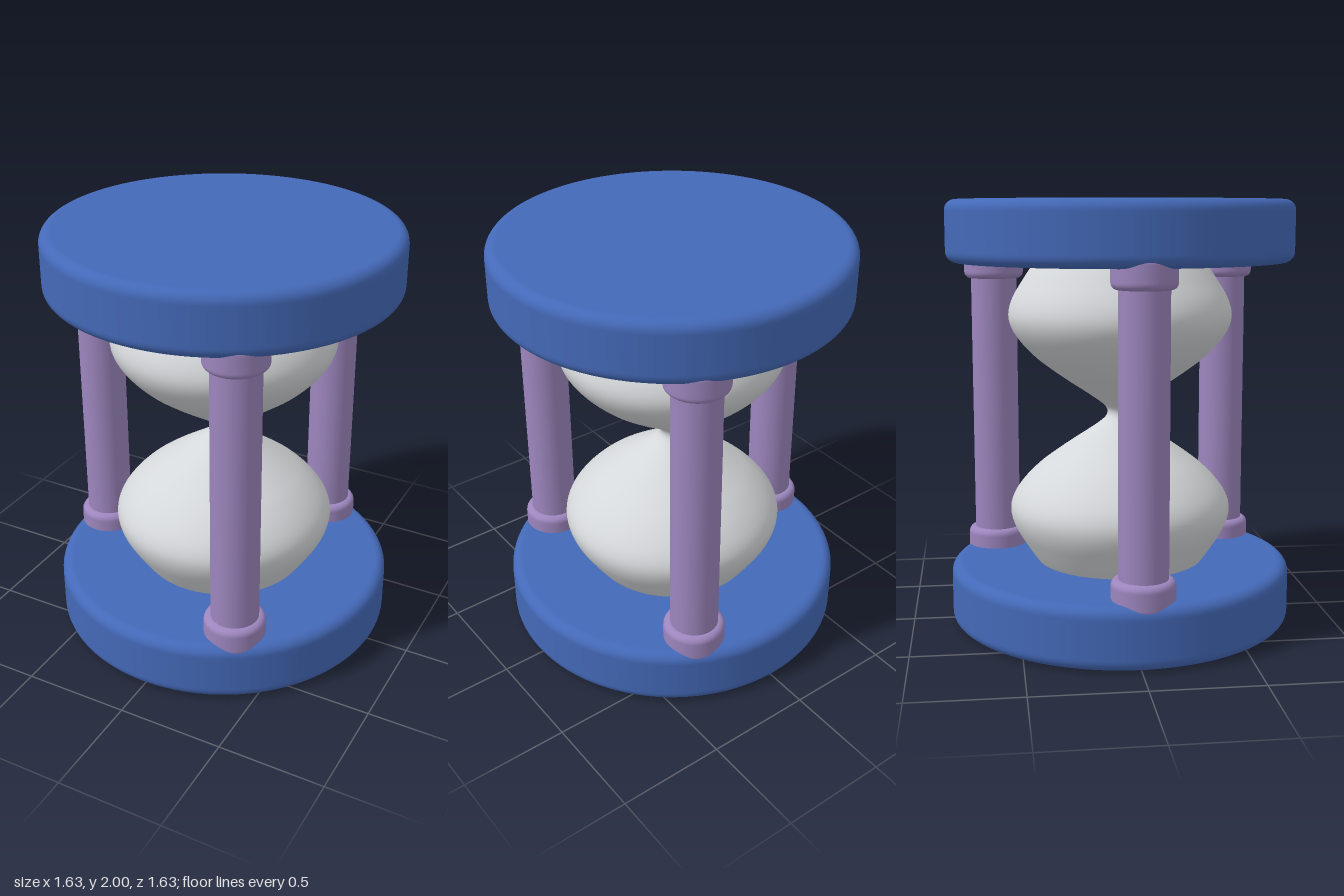
import * as THREE from 'three';

const paint = (name, color) => {
  const m = new THREE.MeshStandardMaterial({ color });
  m.name = name;
  return m;
};

// Lathed drum with rounded rims, standing on y = 0
function roundedDrum(radius, height, fillet, segments) {
  const pts = [new THREE.Vector2(0, 0), new THREE.Vector2(radius - fillet - 0.005, 0)];
  const steps = 8;
  const arc = (cy, start) => {
    for (let i = 0; i <= steps; i++) {
      const a = start + (i / steps) * Math.PI / 2;
      pts.push(new THREE.Vector2(radius - fillet + fillet * Math.cos(a), cy + fillet * Math.sin(a)));
    }
  };
  arc(fillet, -Math.PI / 2);
  pts.push(new THREE.Vector2(radius, fillet + 0.005), new THREE.Vector2(radius, height - fillet - 0.005));
  arc(height - fillet, 0);
  pts.push(new THREE.Vector2(radius - fillet - 0.005, height), new THREE.Vector2(0, height));
  return new THREE.LatheGeometry(pts, segments);
}

export function createModel() {
  const model = new THREE.Group();
  model.name = 'hourglass';
  const blue = paint('blue frame', 0x4469b8);
  const purple = paint('purple pillar', 0x9d86be);
  const glass = paint('pale glass', 0xd5d8da);

  const add = (parent, name, geometry, material, y) => {
    const mesh = new THREE.Mesh(geometry, material);
    mesh.name = name;
    mesh.position.y = y;
    parent.add(mesh);
  };

  // End discs
  const disc = roundedDrum(0.813, 0.287, 0.05, 96);
  add(model, 'bottomDisc', disc, blue, 0);
  add(model, 'topDisc', disc, blue, 1.713);

  // Glass: lower half profile, mirrored about the neck at y = 1
  const half = [
    [0.33, 0.2], [0.4, 0.287], [0.457, 0.37], [0.507, 0.455], [0.527, 0.53], [0.512, 0.597],
    [0.465, 0.667], [0.395, 0.738], [0.32, 0.796], [0.24, 0.852], [0.16, 0.905], [0.1, 0.947], [0.069, 0.975],
  ];
  const profile = [...half, [0.06, 1], ...half.map(([r, y]) => [r, 2 - y]).reverse()];
  const curve = new THREE.SplineCurve(profile.map(([r, y]) => new THREE.Vector2(r, y)));
  add(model, 'glassBulbs', new THREE.LatheGeometry(curve.getPoints(104), 80), glass, 0);

  // Three pillars, each with a rounded collar at both ends
  const shaft = new THREE.CylinderGeometry(0.111, 0.111, 1.5, 40, 1, true);
  const collar = roundedDrum(0.143, 0.14, 0.03, 40);
  for (let i = 0; i < 3; i++) {
    const a = THREE.MathUtils.degToRad(58 + i * 120);
    const pillar = new THREE.Group();
    pillar.name = 'pillar' + (i + 1);
    pillar.position.set(0.665 * Math.cos(a), 0, 0.665 * Math.sin(a));
    add(pillar, 'shaft', shaft, purple, 1);
    add(pillar, 'lowerCollar', collar, purple, 0.237);
    add(pillar, 'upperCollar', collar, purple, 1.623);
    model.add(pillar);
  }
  return model;
}
